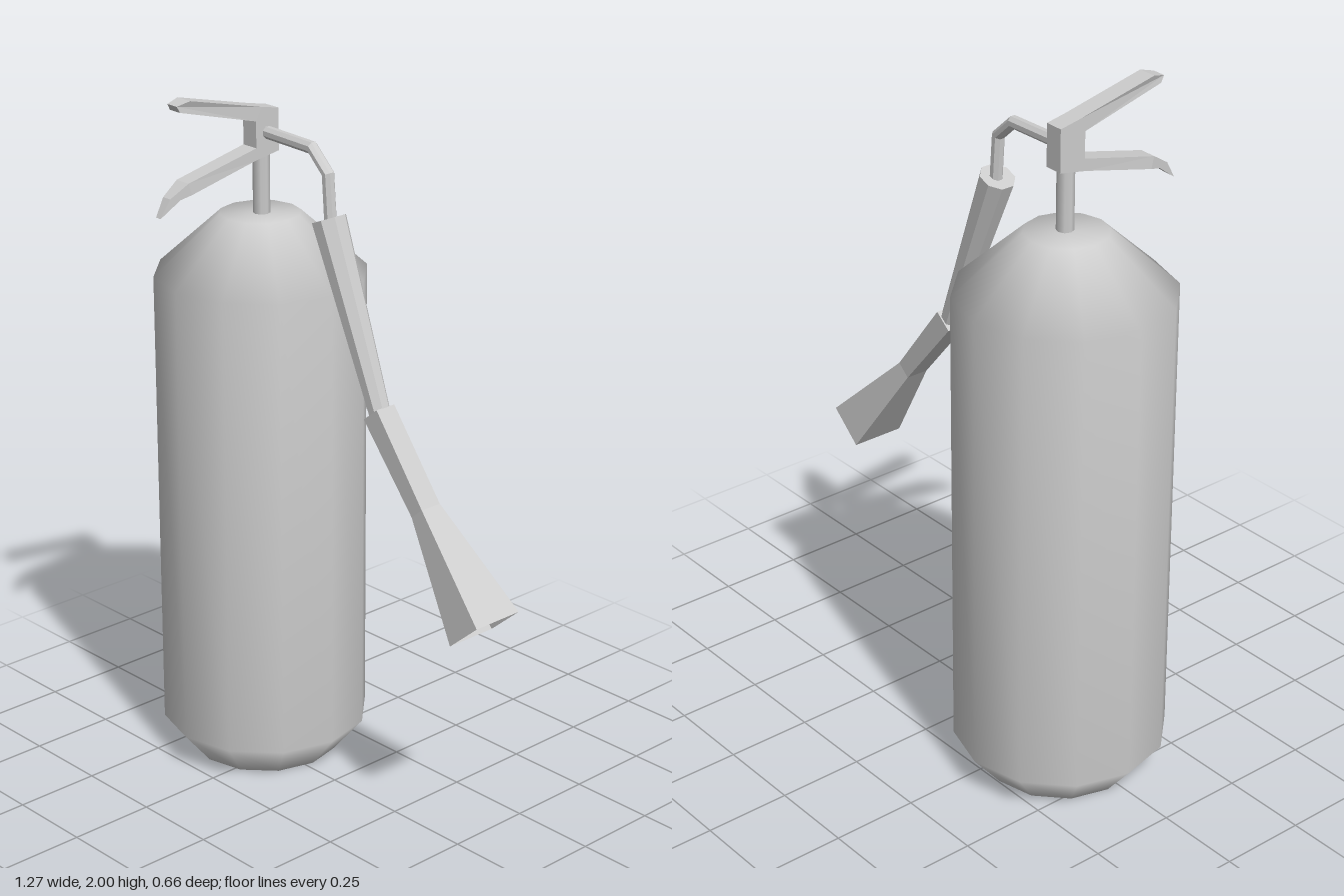
import * as THREE from 'three';

const smooth = new THREE.MeshStandardMaterial({ color: 0xcccccc, side: THREE.DoubleSide });
const flat = new THREE.MeshStandardMaterial({ color: 0xcccccc, flatShading: true, side: THREE.DoubleSide });

function addPart(group, name, geometry, material) {
  const mesh = new THREE.Mesh(geometry, material);
  mesh.name = name;
  group.add(mesh);
  return mesh;
}

// Joins n-sided rings along a path lying near the xy plane.
// Each section is [x, y, z, radius across, radius in z].
function loft(sections, n, capStart, capEnd) {
  const positions = [];
  const index = [];
  const last = sections.length - 1;
  const phase = Math.PI / n;
  sections.forEach(([x, y, z, across, deep], i) => {
    const a = sections[Math.max(i - 1, 0)];
    const b = sections[Math.min(i + 1, last)];
    const t = new THREE.Vector2(b[0] - a[0], b[1] - a[1]).normalize();
    for (let k = 0; k < n; k++) {
      const angle = phase + (k / n) * Math.PI * 2;
      const u = Math.cos(angle) * across;
      positions.push(x - t.y * u, y + t.x * u, z + Math.sin(angle) * deep);
      if (i < last) {
        const p = i * n + k;
        const q = i * n + ((k + 1) % n);
        index.push(p, q, q + n, p, q + n, p + n);
      }
    }
  });
  for (let k = 1; k < n - 1; k++) {
    if (capStart) index.push(0, k + 1, k);
    if (capEnd) index.push(last * n, last * n + k, last * n + k + 1);
  }
  const geometry = new THREE.BufferGeometry();
  geometry.setAttribute('position', new THREE.Float32BufferAttribute(positions, 3));
  geometry.setIndex(index);
  geometry.computeVertexNormals();
  return geometry;
}

// Valve block with both levers as one side profile (z, y), narrowing at the tips
function valveGeometry() {
  const width = 0.055;
  const profile = [
    [-0.07, 1.81], [-0.07, 1.93], [-0.01, 1.942], [0.235, 2.0], [0.275, 1.99], [0.265, 1.972],
    [0.01, 1.905], [0.01, 1.83], [0.245, 1.775], [0.3, 1.74], [0.33, 1.69],
    [0.315, 1.7], [0.27, 1.733], [0.235, 1.742], [0.015, 1.795]
  ];
  const shape = new THREE.Shape(profile.map(([z, y]) => new THREE.Vector2(z, y)));
  const geometry = new THREE.ExtrudeGeometry(shape, { depth: width, bevelEnabled: false });
  geometry.translate(0, 0, -width / 2).rotateY(-Math.PI / 2);
  const pos = geometry.attributes.position;
  for (let i = 0; i < pos.count; i++) {
    const t = THREE.MathUtils.clamp((pos.getZ(i) - 0.235) / 0.095, 0, 1);
    pos.setX(i, pos.getX(i) * (1 - 0.65 * t));
  }
  geometry.computeVertexNormals();
  return geometry;
}

export function createModel() {
  const group = new THREE.Group();
  group.name = 'fireExtinguisher';

  // Twelve-sided tank, open underneath
  const tankProfile = [[0.215, 0], [0.302, 0.105], [0.302, 1.465], [0.115, 1.635], [0, 1.635]];
  const tank = addPart(group, 'tank', new THREE.LatheGeometry(
    tankProfile.map(([r, y]) => new THREE.Vector2(r, y)), 12, -0.03), smooth);
  tank.position.set(-0.335, 0, -0.031);

  // Neck stem under the valve
  const stem = addPart(group, 'stem', new THREE.CylinderGeometry(0.024, 0.024, 0.22, 8), smooth);
  stem.position.set(-0.328, 1.72, -0.03);

  const valve = addPart(group, 'valveAndLevers', valveGeometry(), flat);
  valve.position.x = -0.328;
  valve.rotation.y = -0.03;

  // Thin bent pipe from the valve to the grip
  addPart(group, 'hosePipe', loft([
    [-0.31, 1.868, -0.03, 0.018, 0.018],
    [-0.115, 1.863, -0.025, 0.018, 0.018],
    [-0.05, 1.805, -0.022, 0.018, 0.018],
    [-0.037, 1.66, -0.02, 0.018, 0.018]
  ], 8, true, true), flat);

  // Tapered hose grip
  addPart(group, 'hoseGrip', loft([
    [-0.042, 1.683, -0.018, 0.05, 0.05],
    [0.165, 1.185, -0.012, 0.031, 0.031]
  ], 8, true, true), flat);

  // Square horn flaring to an open mouth (half widths scaled to corner radii)
  const corner = Math.SQRT2;
  addPart(group, 'horn', loft([
    [0.162, 1.187, -0.012, 0.032 * corner, 0.033 * corner],
    [0.35, 0.958, -0.007, 0.025 * corner, 0.034 * corner],
    [0.583, 0.69, 0, 0.064 * corner, 0.08 * corner]
  ], 4, true, false), flat);

  return group;
}
